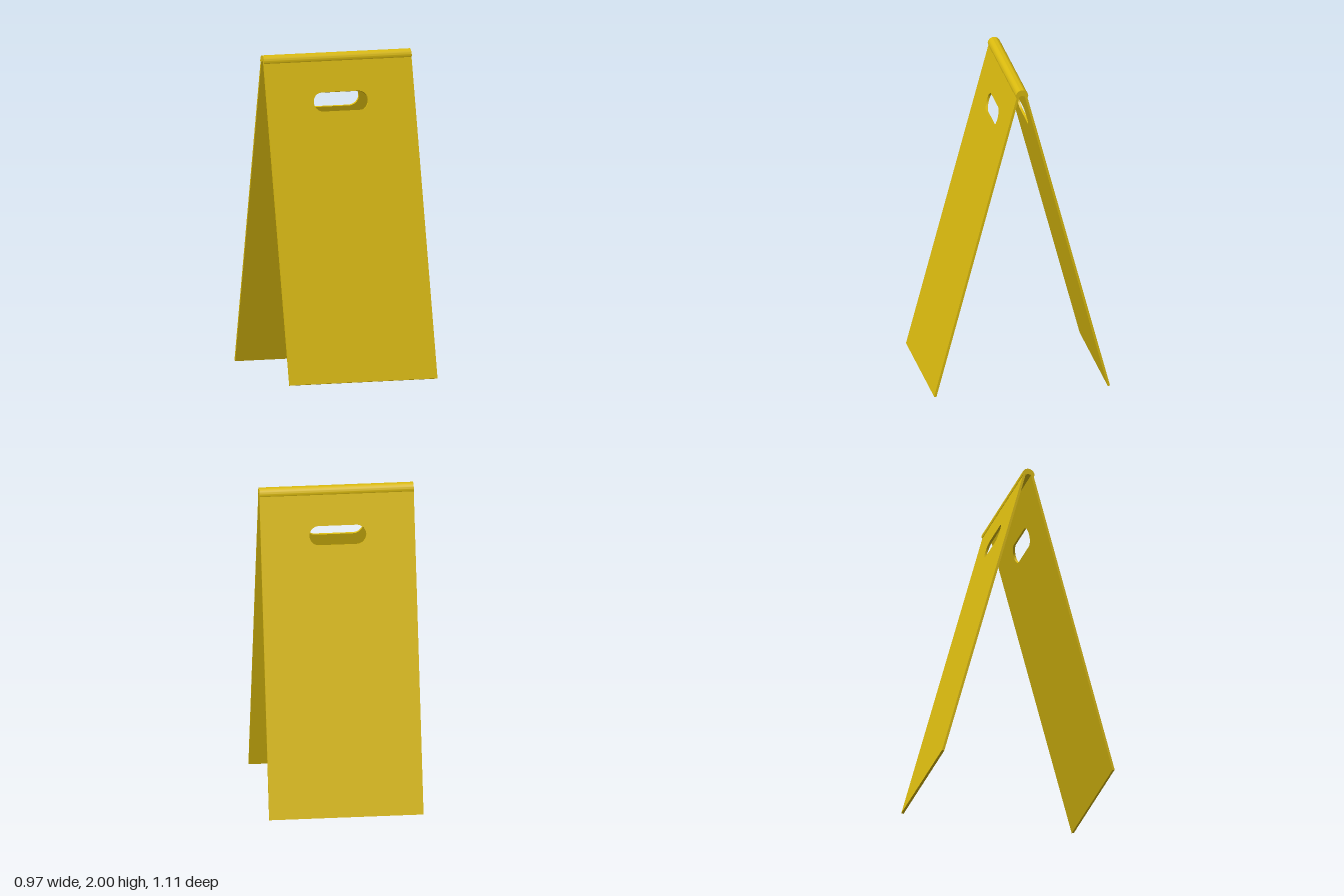
import * as THREE from 'three';
import { toCreasedNormals } from 'three/addons/utils/BufferGeometryUtils.js';

const WIDTH = 0.966;
const TILT = THREE.MathUtils.degToRad(15);
const THICKNESS = 0.0145;

// Flat board with a rounded slot for the hand, leaning back from its foot
function panelGeometry() {
  const w = WIDTH / 2, height = 2.03;
  const shape = new THREE.Shape();
  shape.moveTo(-w, 0);
  shape.lineTo(w, 0);
  shape.lineTo(w, height);
  shape.lineTo(-w, height);
  shape.closePath();

  const r = 0.06, half = 0.118, slotY = 1.761;
  const slot = new THREE.Path();
  slot.absarc(half, slotY, r, -Math.PI / 2, Math.PI / 2, false);
  slot.absarc(-half, slotY, r, Math.PI / 2, Math.PI * 1.5, false);
  slot.closePath();
  shape.holes.push(slot);

  const geometry = new THREE.ExtrudeGeometry(shape, {
    depth: THICKNESS, bevelEnabled: false, curveSegments: 16,
  });
  geometry.rotateX(-TILT);
  geometry.translate(0, 0, 0.542);
  return toCreasedNormals(geometry, Math.PI / 5);
}

// Domed ridge that joins the two boards, with a shallow groove beneath
function ridgeGeometry() {
  const r = 0.039, y = 1.961;
  const shape = new THREE.Shape();
  shape.absarc(0, y, r, 0, Math.PI, false);
  shape.lineTo(-0.036, 1.951);
  shape.lineTo(-0.018, 1.958);
  shape.lineTo(0, 1.965);
  shape.lineTo(0.018, 1.958);
  shape.lineTo(0.036, 1.951);
  shape.closePath();
  const geometry = new THREE.ExtrudeGeometry(shape, {
    depth: WIDTH, bevelEnabled: false, curveSegments: 20,
  });
  geometry.translate(0, 0, -WIDTH / 2);
  geometry.rotateY(Math.PI / 2);
  return toCreasedNormals(geometry, Math.PI / 5);
}

export function createModel() {
  const model = new THREE.Group();
  model.name = 'foldingFloorSign';
  const yellow = new THREE.MeshStandardMaterial({ color: 0xdbbb0f });
  yellow.name = 'safety yellow';

  // Front and back boards
  const geometry = panelGeometry();
  ['frontPanel', 'backPanel'].forEach((name, i) => {
    const panel = new THREE.Mesh(geometry, yellow);
    panel.name = name;
    panel.rotation.y = i * Math.PI;
    model.add(panel);
  });

  // Hinge ridge along the top
  const ridge = new THREE.Mesh(ridgeGeometry(), yellow);
  ridge.name = 'topRidge';
  model.add(ridge);

  return model;
}
